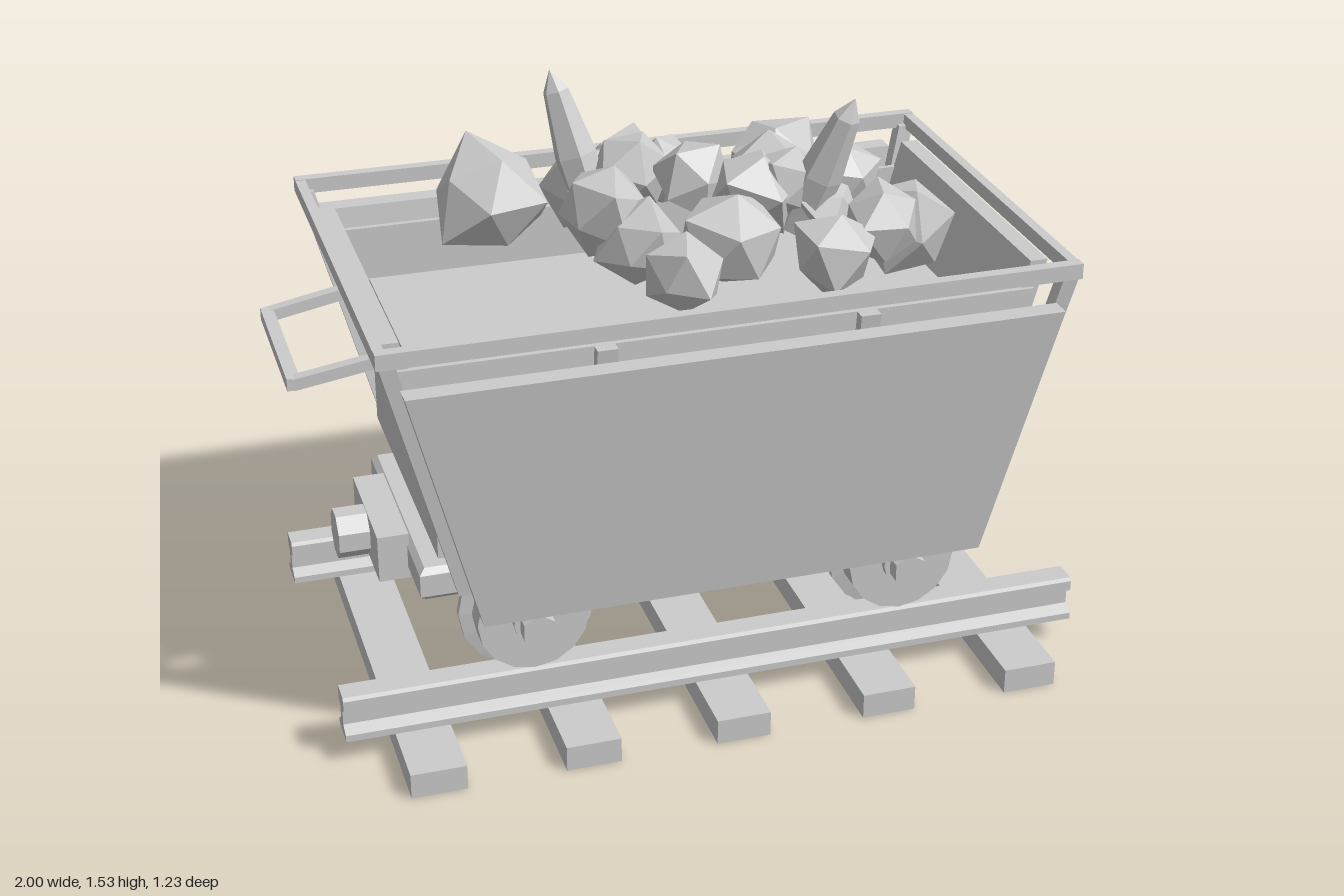
import * as THREE from 'three';

export function createModel() {
  const root = new THREE.Group();
  root.name = 'mineCart';
  const grey = new THREE.MeshStandardMaterial({ color: 0xcccccc, flatShading: true });
  grey.name = 'plain grey';

  const add = (name, geo, x = 0, y = 0, z = 0) => {
    const mesh = new THREE.Mesh(geo, grey);
    mesh.name = name;
    mesh.position.set(x, y, z);
    root.add(mesh);
    return mesh;
  };
  // Box given by its limits
  const box = (name, x0, x1, y0, y1, z0, z1) =>
    add(name, new THREE.BoxGeometry(x1 - x0, y1 - y0, z1 - z0), (x0 + x1) / 2, (y0 + y1) / 2, (z0 + z1) / 2);
  // Slanted block between two rectangles [x0, x1, z0, z1] at heights y0 and y1
  const slant = (name, y0, a, y1, b) => {
    const g = new THREE.BoxGeometry(1, 1, 1), p = g.attributes.position;
    for (let i = 0; i < p.count; i++) {
      const top = p.getY(i) > 0, r = top ? b : a;
      p.setXYZ(i, r[p.getX(i) > 0 ? 1 : 0], top ? y1 : y0, r[p.getZ(i) > 0 ? 3 : 2]);
    }
    g.computeVertexNormals();
    return add(name, g);
  };
  // Straight bar of square section between two points
  const bar = (name, a, b, size) => {
    const p = new THREE.Vector3(...a), q = new THREE.Vector3(...b);
    const m = add(name, new THREE.BoxGeometry(size, size, p.distanceTo(q)));
    m.position.copy(p).lerp(q, 0.5);
    m.lookAt(q);
    return m;
  };
  const extrude = (pts, depth) => new THREE.ExtrudeGeometry(
    new THREE.Shape(pts.map(p => new THREE.Vector2(...p))), { depth, bevelEnabled: false });

  // Track: sleepers and two rails
  for (let i = 0; i < 5; i++) {
    const x = -0.757 + i * 0.39;
    box('sleeper', x - 0.07, x + 0.07, 0, 0.067, -0.617, 0.617);
  }
  const half = [[0.045, 0.067], [0.045, 0.085], [0.015, 0.1], [0.015, 0.14], [0.036, 0.15], [0.036, 0.178], [0.03, 0.187]];
  const railProfile = [...half, ...half.map(([x, y]) => [-x, y]).reverse()];
  for (const s of [-1, 1]) {
    const rail = add('rail', extrude(railProfile, 1.95), -0.95, 0, s * 0.39);
    rail.rotation.y = Math.PI / 2;
  }

  // Wheels with inner flange, hubs and axles
  const wheelProfile = [[0, 0.335], [0.175, 0.335], [0.175, 0.355], [0.142, 0.36], [0.142, 0.425], [0, 0.425]]
    .map(p => new THREE.Vector2(...p));
  for (const x of [-0.465, 0.51]) {
    const axle = add('axle', new THREE.CylinderGeometry(0.032, 0.032, 0.7, 8), x, 0.33, 0);
    axle.rotation.x = Math.PI / 2;
    for (const s of [-1, 1]) {
      const wheel = add('wheel', new THREE.LatheGeometry(wheelProfile, 16), x, 0.33, 0);
      wheel.rotation.x = s * Math.PI / 2;
      const hub = add('hub', new THREE.CylinderGeometry(0.055, 0.055, 0.02, 12), x, 0.33, s * 0.435);
      hub.rotation.x = Math.PI / 2;
      const nut = add('hubNut', new THREE.CylinderGeometry(0.045, 0.045, 0.045, 6), x, 0.33, s * 0.463);
      nut.rotation.x = Math.PI / 2;
    }
  }

  // Chassis: one slab with chamfered edges
  const chassis = new THREE.ExtrudeGeometry(
    new THREE.Shape([[-0.71, -0.305], [0.75, -0.305], [0.75, 0.305], [-0.71, 0.305]].map(p => new THREE.Vector2(...p))),
    { depth: 0.06, bevelThickness: 0.015, bevelSize: 0.015, bevelSegments: 1 });
  chassis.rotateX(-Math.PI / 2);
  add('chassis', chassis, 0, 0.375, 0);

  // Buffers
  for (const [s, x] of [[-1, -0.72], [1, 0.76]]) {
    add('bufferBlock', new THREE.BoxGeometry(0.08, 0.127, 0.33), x + s * 0.04, 0.407, 0);
    const b = add('buffer', new THREE.CylinderGeometry(0.065, 0.065, 0.08, 8), x + s * 0.12, 0.407, 0);
    b.rotation.set(0, 0, Math.PI / 2);
    b.geometry.rotateY(Math.PI / 8);
  }

  // Open hopper: floor, side walls and slanted end plates
  box('hopperFloor', -0.61, 0.66, 0.46, 0.5, -0.42, 0.42);
  const wall = [[-0.615, 0.46], [0.665, 0.46], [0.825, 1.06], [-0.775, 1.06]];
  for (const z of [-0.435, 0.42]) add('hopperWall', extrude(wall, 0.015), 0, 0, z);
  slant('rightEndPlate', 0.46, [-0.63, -0.585, -0.425, 0.425], 1.13, [-0.81, -0.765, -0.425, 0.425]);
  slant('leftEndPlate', 0.46, [0.635, 0.68, -0.425, 0.425], 1.13, [0.815, 0.86, -0.425, 0.425]);
  // Block of packed fill inside, poking through the lower end plates
  box('fill', -0.69, 0.74, 0.52, 0.93, -0.387, 0.387);

  // Outer side panels, posts and rim
  for (const s of [-1, 1]) {
    const zz = (a, b) => (s > 0 ? [a, b] : [-b, -a]);
    slant('sidePanel', 0.39, [-0.61, 0.68, ...zz(0.465, 0.52)], 1.07, [-0.79, 0.83, ...zz(0.55, 0.603)]);
    slant('cornerPost', 0.46, [-0.66, -0.625, ...zz(0.435, 0.475)], 1.14, [-0.84, -0.8, ...zz(0.515, 0.555)]);
    slant('cornerPost', 0.46, [0.69, 0.725, ...zz(0.435, 0.475)], 1.14, [0.845, 0.885, ...zz(0.515, 0.555)]);
    for (const x of [-0.3, 0.35])
      slant('sidePost', 0.46, [x - 0.025, x + 0.025, ...zz(0.435, 0.465)], 1.1, [x - 0.025, x + 0.025, ...zz(0.515, 0.545)]);
    box('sideRim', -0.845, 0.89, 1.13, 1.17, ...zz(0.53, 0.56));
  }
  for (const x of [-0.832, 0.877]) box('endRim', x - 0.013, x + 0.013, 1.13, 1.168, -0.53, 0.53);

  // Push handle
  for (const z of [-0.2, 0.2]) bar('handleArm', [-0.77, 0.987, z * 1.04], [-0.985, 0.95, z], 0.03);
  bar('handleGrip', [-0.984, 0.95, -0.21], [-0.984, 0.95, 0.21], 0.032);

  // Ore: faceted lumps [x, y, z, radius]
  const rocks = [
    [-0.41, 1.22, -0.16, 0.155], [-0.15, 1.2, -0.2, 0.11], [-0.01, 1.17, -0.34, 0.12], [0.1, 1.17, -0.3, 0.1],
    [-0.17, 1.24, 0.04, 0.125], [-0.06, 1.27, -0.1, 0.11], [0.08, 1.28, 0, 0.1], [-0.1, 1.17, 0.14, 0.11],
    [0.1, 1.2, 0.23, 0.13], [-0.04, 1.15, 0.31, 0.1], [0.2, 1.25, 0.08, 0.12], [0.29, 1.27, 0.1, 0.1],
    [0.39, 1.17, -0.29, 0.14], [0.57, 1.13, -0.23, 0.105], [0.32, 1.2, -0.12, 0.12], [0.6, 1.13, 0.11, 0.125],
    [0.35, 1.15, 0.28, 0.11], [0.5, 1.19, 0.22, 0.11], [0.38, 1.2, 0.12, 0.1],
  ];
  rocks.forEach(([x, y, z, r], k) => {
    const g = new THREE.IcosahedronGeometry(r, 0), p = g.attributes.position, v = new THREE.Vector3();
    for (let i = 0; i < p.count; i++) {
      v.fromBufferAttribute(p, i);
      const n = v.clone().divideScalar(r);
      const h = Math.sin(Math.round(n.x * 50) * 1.7 + Math.round(n.y * 50) * 2.3 + Math.round(n.z * 50) * 3.1 + k * 5.3);
      v.multiplyScalar(1 + 0.14 * h);
      p.setXYZ(i, v.x, v.y, v.z);
    }
    g.computeVertexNormals();
    add('oreLump', g, x, y, z).rotation.set(k * 1.3 + 0.5, k * 2.1, k * 0.7 + 0.4);
  });

  // Pointed crystals, from base to tip
  const crystalProfile = [[0, 0], [0.05, 0], [0.056, 0.16], [0.034, 0.33], [0, 0.385]].map(p => new THREE.Vector2(...p));
  for (const [a, b] of [[[-0.15, 1.16, -0.12], [-0.24, 1.525, -0.19]], [[0.31, 1.16, 0.12], [0.425, 1.52, 0.205]]]) {
    const base = new THREE.Vector3(...a), dir = new THREE.Vector3(...b).sub(base).normalize();
    const m = add('crystal', new THREE.LatheGeometry(crystalProfile, 6), ...a);
    m.quaternion.setFromUnitVectors(new THREE.Vector3(0, 1, 0), dir);
  }
  return root;
}
